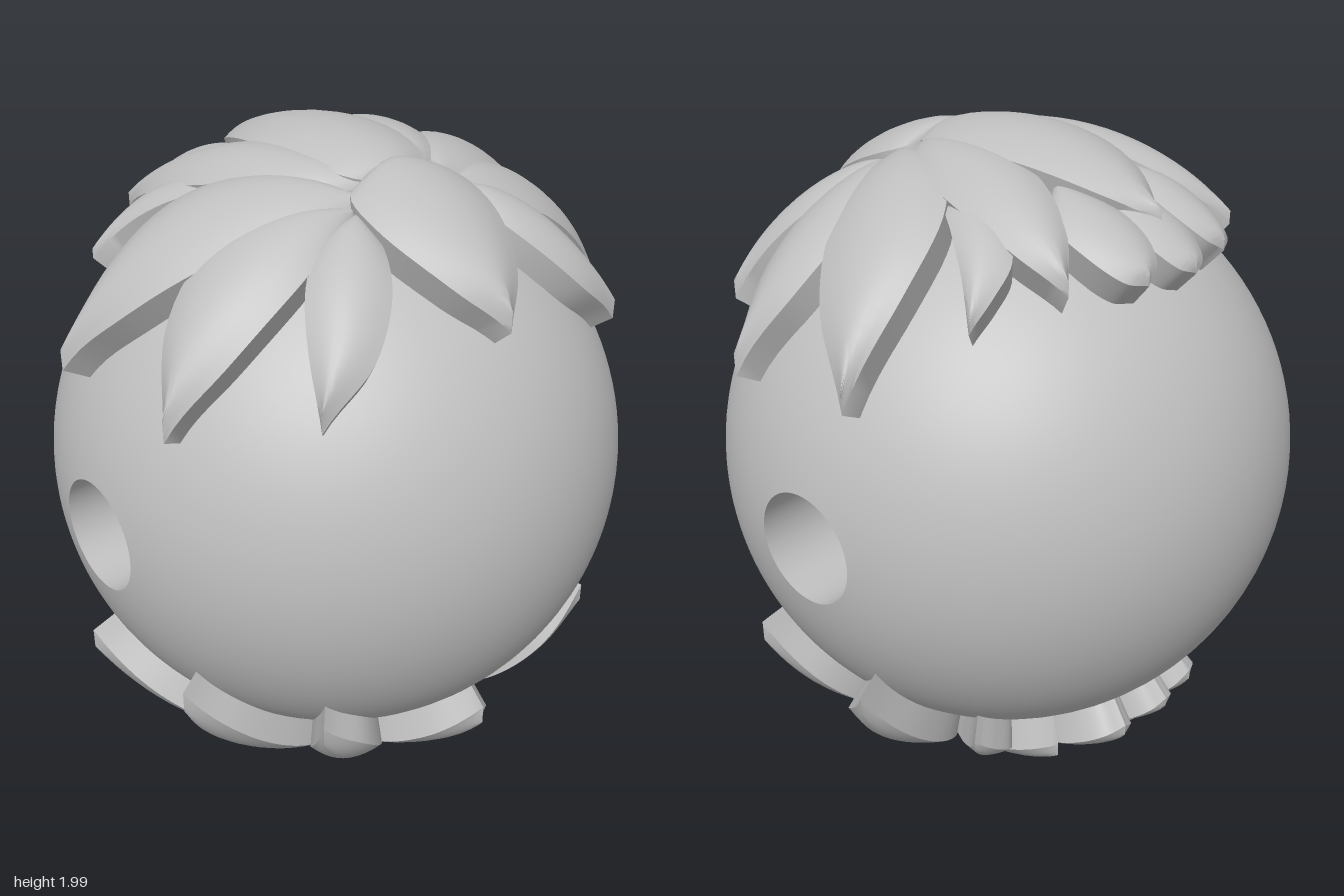
import * as THREE from 'three';
import { toCreasedNormals } from 'three/addons/utils/BufferGeometryUtils.js';

const BALL = 0.856, HOLE = 0.163;

// Sphere drilled through along x, as one closed lathe profile
function beadGeometry() {
  const a0 = Math.asin(HOLE / BALL), pts = [];
  for (let i = 0; i <= 56; i++) {
    const a = Math.PI - a0 - (i / 56) * (Math.PI - 2 * a0);
    pts.push(new THREE.Vector2(BALL * Math.sin(a), BALL * Math.cos(a)));
  }
  for (let i = 1; i <= 4; i++) {
    pts.push(new THREE.Vector2(HOLE, BALL * Math.cos(a0) * (1 - i / 2)));
  }
  const g = new THREE.LatheGeometry(pts, 96);
  g.rotateZ(Math.PI / 2);
  return toCreasedNormals(g, 0.7);
}

// Petal from base to tip between two plan-view edges [x, z], domed over the ball, with radial walls
function petalGeometry({ base, tip, left, right, crest, drop = 0.03, tipDrop = 0.015, baseDrop = 0.05 }) {
  const curve = (edge) => new THREE.CatmullRomCurve3(
    [base, ...edge, tip].map(([x, z]) => new THREE.Vector3(x, 0, z)));
  const L = curve(left), R = curve(right);
  const NT = 24, NS = 10, row = NS + 3, pos = [], idx = [];
  for (let i = 0; i <= NT; i++) {
    const t = i / NT, a = L.getPoint(t), b = R.getPoint(t);
    for (let j = -1; j <= NS + 1; j++) {
      const s = THREE.MathUtils.clamp(j / NS, 0, 1), u = 2 * s - 1;
      const p = a.clone().lerp(b, s);
      const r = crest - drop * u * u - tipDrop * t ** 4 - baseDrop * (1 - t) ** 4;
      p.y = Math.sqrt(r * r - p.x * p.x - p.z * p.z);
      if (j < 0 || j > NS) p.setLength(0.835); // foot of the wall, inside the ball
      pos.push(p.x, p.y, p.z);
    }
  }
  for (let i = 0; i < NT; i++) {
    for (let j = 0; j < row - 1; j++) {
      const a = i * row + j, b = a + 1, c = a + row, d = c + 1;
      idx.push(a, b, c, b, d, c);
    }
  }
  const g = new THREE.BufferGeometry();
  g.setAttribute('position', new THREE.Float32BufferAttribute(pos, 3));
  g.setIndex(idx);
  return toCreasedNormals(g, 0.65);
}

const flip = ([x, z]) => [-x, z];

// The same petal on the other side of x = 0
const mirrored = (p) => ({
  ...p, base: flip(p.base), tip: flip(p.tip), left: p.right.map(flip), right: p.left.map(flip),
});

// Petal on the centre line, given one edge; left and right are as seen from its base
const centred = (p, edge) => (p.tip[1] < p.base[1]
  ? { ...p, left: edge.map(flip), right: edge }
  : { ...p, left: edge, right: edge.map(flip) });

const crownPetal = centred(
  { base: [0, 0.27], tip: [0, -0.52], crest: 1.003, tipDrop: 0.02, baseDrop: 0.055 },
  [[0.14, 0.2], [0.19, -0.08], [0.12, -0.36]]);
const frontPetal = centred(
  { base: [0, 0.21], tip: [0, 0.695], crest: 0.998, drop: 0.04, tipDrop: 0.03, baseDrop: 0.03 },
  [[0.17, 0.265], [0.19, 0.42], [0.11, 0.6]]);
const backPetal = centred(
  { base: [0, -0.3], tip: [0, -0.635], crest: 0.968, drop: 0.02, tipDrop: 0.01 },
  [[0.085, -0.43], [0.09, -0.55], [0.055, -0.617]]);

// Petals on the +x side, repeated on the other side
const innerPetal = {
  base: [0.06, 0.26], tip: [0.37, -0.505], crest: 0.985,
  left: [[0.1, 0.08], [0.14, -0.18], [0.25, -0.4]],
  right: [[0.24, 0.16], [0.37, -0.1], [0.4, -0.35]],
};
const sidePetal = {
  base: [0.12, 0.29], tip: [0.815, -0.155], crest: 0.983,
  left: [[0.23, 0.04], [0.42, -0.14], [0.62, -0.183]],
  right: [[0.31, 0.27], [0.53, 0.165], [0.71, 0.02]],
};
const lowerSidePetal = {
  base: [0.16, 0.29], tip: [0.785, 0.29], crest: 0.973,
  left: [[0.31, 0.18], [0.52, 0.11], [0.68, 0.16]],
  right: [[0.29, 0.345], [0.46, 0.378], [0.64, 0.36]],
};
const lowerFrontPetal = {
  base: [0.16, 0.29], tip: [0.528, 0.595], crest: 0.968,
  left: [[0.29, 0.305], [0.41, 0.385], [0.485, 0.49]],
  right: [[0.18, 0.4], [0.25, 0.525], [0.37, 0.603]],
};
const smallSidePetal = {
  base: [0.28, -0.1], tip: [0.58, -0.365], crest: 0.967, drop: 0.02,
  left: [[0.33, -0.26], [0.41, -0.36], [0.5, -0.375]],
  right: [[0.37, -0.105], [0.44, -0.185], [0.51, -0.28]],
};
const roundedBackPetal = {
  base: [0.12, -0.25], tip: [0.175, -0.608], crest: 0.98, drop: 0.025, tipDrop: 0.012,
  left: [[0.075, -0.4], [0.08, -0.53], [0.115, -0.588]],
  right: [[0.26, -0.36], [0.27, -0.5], [0.235, -0.58]],
};

const centrePetals = { crownPetal, frontPetal, backPetal };
const sidePetals = {
  innerPetal, sidePetal, lowerSidePetal, lowerFrontPetal, smallSidePetal, roundedBackPetal,
};

function flower(name, material) {
  const group = new THREE.Group();
  group.name = name;
  group.position.y = 1;
  const add = (partName, petal) => {
    const mesh = new THREE.Mesh(petalGeometry(petal), material);
    mesh.name = partName;
    group.add(mesh);
  };
  for (const [key, p] of Object.entries(centrePetals)) add(key, p);
  for (const [key, p] of Object.entries(sidePetals)) {
    add(key + 'Left', p);
    add(key + 'Right', mirrored(p));
  }
  return group;
}

export function createModel() {
  const grey = new THREE.MeshStandardMaterial({ color: 0xbfbfbf });
  grey.name = 'plain grey';

  const model = new THREE.Group();
  model.name = 'lotusBead';

  const bead = new THREE.Mesh(beadGeometry(), grey);
  bead.name = 'drilledBall';
  bead.position.y = 1;

  const top = flower('topFlower', grey);

  // The flower is symmetric in x, so a half turn about z mirrors it underneath
  const bottom = flower('bottomFlower', grey);
  bottom.rotation.z = Math.PI;

  model.add(bead, top, bottom);
  return model;
}
